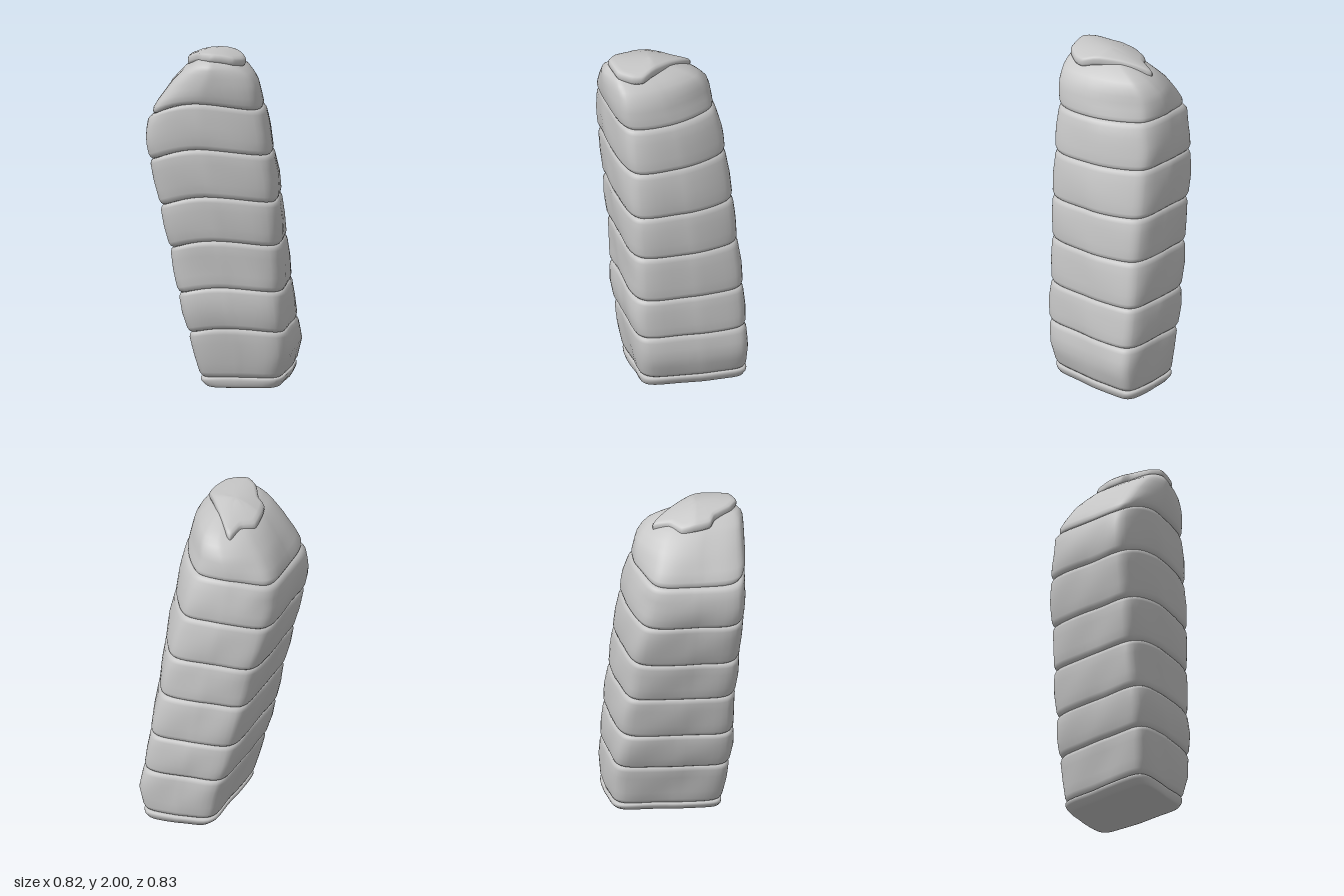
import * as THREE from 'three';

// Plan outline corners in a -1..1 box (x, z), at the foot, shoulder and crown
const FOOT = [[-.97, 1], [0, .93], [1.03, .73], [.95, -.3], [.78, -1.03], [-.15, -1], [-1, -.8], [-1, .2]];
const SHOULDER = [[-.96, 1.02], [0, 1], [1.05, .66], [.92, -.22], [.4, -.96], [-.28, -.9], [-1, -.62], [-1.03, .2]];
const CROWN = [[-.8, .93], [0, 1], [1.03, .68], [.88, -.12], [.24, -.92], [-.3, -.95], [-.96, -.54], [-1.03, .15]];

// Outer limits by height: y, xMin, xMax, zMin, zMax
const LIMITS = [
  [0, -.07, .35, -.39, .27], [.04, -.11, .37, -.41, .28], [.2, -.14, .405, -.412, .305], [.45, -.205, .39, -.405, .345],
  [.7, -.255, .375, -.385, .345], [1, -.31, .36, -.355, .37], [1.25, -.365, .34, -.33, .39],
  [1.5, -.41, .305, -.295, .41], [1.62, -.405, .285, -.265, .41], [1.7, -.375, .265, -.24, .412],
  [1.8, -.305, .25, -.222, .412], [1.87, -.225, .215, -.17, .408], [1.9, -.185, .18, -.115, .404],
  [1.92, -.145, .15, -.07, .4], [1.95, -.1, .1, .02, .375], [1.965, -.03, .06, .1, .32],
];
const SEAMS = [0, .06, .335, .575, .85, 1.11, 1.39, 1.66];
const lerp = THREE.MathUtils.lerp;
const clamp = THREE.MathUtils.clamp;

function limitsAt(y) {
  let i = 0;
  while (i < LIMITS.length - 2 && y > LIMITS[i + 1][0]) i++;
  const a = LIMITS[i], b = LIMITS[i + 1];
  const t = clamp((y - a[0]) / (b[0] - a[0]), 0, 1);
  return a.map((v, k) => lerp(v, b[k], t));
}

// Rounded outline: cut each corner, then run a closed smooth curve through
function outline(y) {
  const t = clamp((y - .2) / 1.3, 0, 1), c = clamp((y - 1.62) / .16, 0, 1);
  const mix = (i, k) => lerp(lerp(FOOT[i][k], SHOULDER[i][k], t), CROWN[i][k], c);
  const p = FOOT.map((f, i) => new THREE.Vector3(mix(i, 0), 0, mix(i, 1)));
  const cut = p.flatMap((a, i) => {
    const b = p[(i + 1) % p.length];
    return [a.clone().lerp(b, .15), a.clone().lerp(b, .85)];
  });
  const pts = new THREE.CatmullRomCurve3(cut, true).getPoints(80).slice(0, 80);
  const box = new THREE.Box3().setFromPoints(pts);
  return pts.map((q) => [
    (q.x - box.min.x) / (box.max.x - box.min.x) * 2 - 1,
    (q.z - box.min.z) / (box.max.z - box.min.z) * 2 - 1,
  ]);
}

// One ring around the column, with seam wave, gentle lumps and a worn back corner
function ring(y, inset, wave) {
  const [, x0, x1, z0, z1] = limitsAt(y);
  const crest = lerp(.022, .045, clamp(y / 1.5, 0, 1));
  return outline(y).map(([u, v]) => {
    const rise = crest * Math.max(0, v) ** 2 * (1 - u * u) - .045 * Math.max(0, -u) ** 2 * Math.min(1, y / 1.5);
    const lump = .004 * Math.sin(5 * u + 9 * y) * Math.sin(6 * v - 7 * y);
    const p = new THREE.Vector3(
      (x0 + x1) / 2 + u * ((x1 - x0) / 2 - inset + lump),
      y + rise * wave * Math.min(1, y * 3),
      (z0 + z1) / 2 + v * ((z1 - z0) / 2 - inset + lump));
    const d = p.distanceTo(new THREE.Vector3(-.36, 1.5, -.17));
    const dent = .015 * Math.exp(-((d / .08) ** 2));
    p.x += dent;
    p.z += dent;
    return p;
  });
}

// Closed skin over a stack of rings listed from bottom to top
function loft(rings) {
  const n = rings[0].length, pos = [], idx = [];
  const centre = (r) => r.reduce((s, p) => s.add(p), new THREE.Vector3()).divideScalar(n);
  rings.forEach((r) => r.forEach((p) => pos.push(p.x, p.y, p.z)));
  const last = (rings.length - 1) * n, lo = rings.length * n, hi = lo + 1;
  [centre(rings[0]), centre(rings[rings.length - 1])].forEach((p) => pos.push(p.x, p.y, p.z));
  for (let j = 0; j < n; j++) {
    const k = (j + 1) % n;
    for (let i = 0; i < last; i += n) idx.push(i + j, i + k, i + n + k, i + j, i + n + k, i + n + j);
    idx.push(lo, k, j, hi, last + j, last + k);
  }
  const g = new THREE.BufferGeometry();
  g.setAttribute('position', new THREE.Float32BufferAttribute(pos, 3));
  g.setIndex(idx);
  g.computeVertexNormals();
  return g;
}

export function createModel() {
  const model = new THREE.Group();
  model.name = 'stackedColumn';
  const stone = new THREE.MeshStandardMaterial({ color: 0xc6c6c6 });
  stone.name = 'pale grey';
  const add = (name, rings) => {
    const m = new THREE.Mesh(loft(rings), stone);
    m.name = name;
    model.add(m);
  };

  // Bulging courses with pinched seams: height fraction, inset
  const profile = [[0, .03], [.005, .018], [.04, .009], [.11, .002], [.3, 0], [.5, -.002], [.7, 0], [.89, .002], [.96, .009], [.995, .018], [1, .03]];
  for (let i = 0; i < SEAMS.length - 1; i++) {
    const h = SEAMS[i + 1] - SEAMS[i];
    add(i === 0 ? 'footCourse' : 'course' + i, profile.map(([t, s]) => ring(SEAMS[i] + t * h, s, 1)));
  }

  // Domed top course
  const dome = [[1.66, .03], [1.662, .018], [1.672, .009], [1.69, .002], [1.73, 0], [1.77, 0], [1.81, 0], [1.85, 0], [1.88, 0], [1.905, 0], [1.925, 0], [1.95, 0], [1.965, 0]];
  add('topCourse', dome.map(([y, s]) => ring(y, s, Math.max(0, 1 - (y - 1.66) / .22))));

  // Thin curved cap slab, following the dome
  const slab = [[-.2, .13], [-.18, .21], [-.13, .24], [-.07, .33], [0, .37], [.12, .33], [.16, .25], [.16, .18], [.08, .08], [0, -.01], [-.09, -.11], [-.12, -.12], [-.14, -.03], [-.2, .04]];
  const edge = new THREE.CatmullRomCurve3(slab.map(([x, z]) => new THREE.Vector3(x, 0, z)), true, 'catmullrom', .25).getPoints(56).slice(0, 56);
  const slabRing = (scale, drop) => edge.map((p) => {
    const x = -.02 + (p.x + .02) * scale, z = .14 + (p.z - .14) * scale;
    return new THREE.Vector3(x, 2 - 1.5 * x * x - .28 * Math.max(0, .12 - z) - drop, z);
  });
  add('capSlab', [[.85, .055], [.97, .05], [1, .035], [1, .015], [.96, .004], [.85, 0], [.5, 0], [.2, 0]].map(([s, d]) => slabRing(s, d)));

  return model;
}
